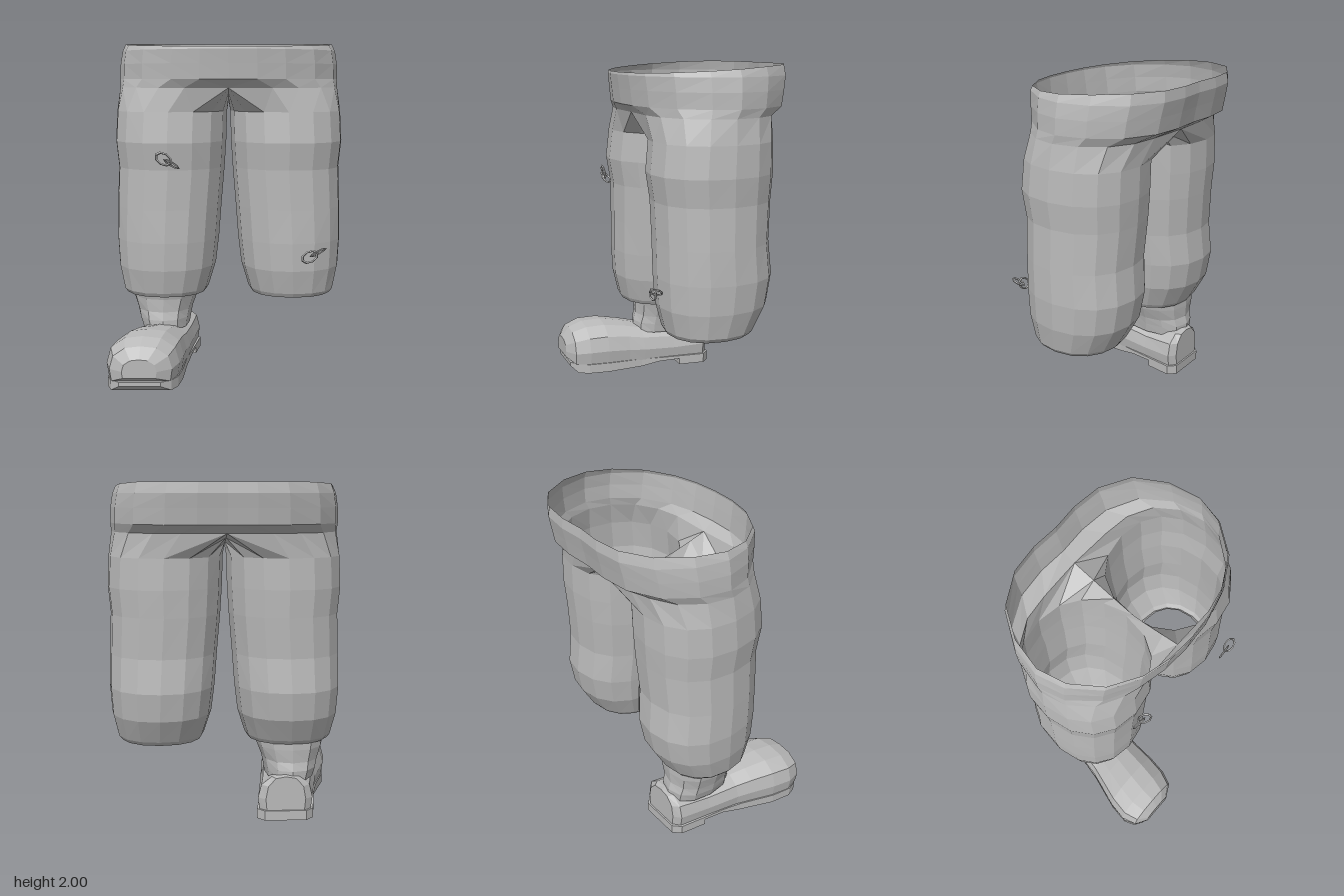
import * as THREE from 'three';

const grey = new THREE.MeshStandardMaterial({ color: 0xbababa, flatShading: true, side: THREE.DoubleSide });
grey.name = 'plain grey';

// Skin rows of [x, y, z] points with quads
function loft(name, rows, closed = true) {
  const n = rows[0].length, index = [];
  for (let r = 0; r < rows.length - 1; r++) {
    for (let i = 0; i < (closed ? n : n - 1); i++) {
      const j = (i + 1) % n, a = r * n, b = a + n;
      index.push(a + i, a + j, b + j, a + i, b + j, b + i);
    }
  }
  const g = new THREE.BufferGeometry();
  g.setAttribute('position', new THREE.Float32BufferAttribute(rows.flat(2), 3));
  g.setIndex(index);
  g.computeVertexNormals();
  const mesh = new THREE.Mesh(g, grey);
  mesh.name = name;
  return mesh;
}

const soft = (v) => Math.sign(v) * Math.abs(v) ** 0.9;

// Horizontal ring, starting on the inner side and running front, outer, back
function ring([y, x0, x1, front, back], n = 16) {
  return Array.from({ length: n }, (_, i) => {
    const a = (i / n) * Math.PI * 2;
    return [(x0 + x1) / 2 - ((x1 - x0) / 2) * soft(Math.cos(a)), y,
      (front + back) / 2 + ((front - back) / 2) * soft(Math.sin(a))];
  });
}

// Half outline of the waist from front centre to back centre
const WAIST = [[0, 0.35], [0.16, 0.34], [0.32, 0.3], [0.49, 0.2], [0.61, 0.04], [0.65, -0.12],
  [0.61, -0.3], [0.5, -0.47], [0.33, -0.565], [0.16, -0.585], [0, -0.575]];

// Crotch line from the lowest point outwards: [y, front z, back z]
const CROTCH = [[1.64, -0.04, -0.04], [1.66, 0.06, -0.18], [1.69, 0.17, -0.33], [1.72, 0.27, -0.47]];

function trouserHalf() {
  const half = new THREE.Group();
  // y, inner x, outer x, front z, back z; the first two rows turn the hem inwards
  const legRows = [
    [0.48, 0.17, 0.62, 0.16, -0.28], [0.46, 0.14, 0.64, 0.2, -0.3], [0.485, 0.125, 0.66, 0.215, -0.32],
    [0.63, 0.08, 0.69, 0.25, -0.4], [0.8, 0.06, 0.7, 0.26, -0.43], [1.0, 0.045, 0.695, 0.26, -0.41],
    [1.24, 0.025, 0.685, 0.265, -0.425], [1.4, 0.015, 0.7, 0.29, -0.435], [1.58, 0.01, 0.69, 0.27, -0.435],
  ].map((r) => ring(r));
  // Top of the leg: inner points meet on the centre line, the rest blend to the hips
  const legTop = legRows[legRows.length - 1];
  const hip = legTop.map((p, i) => {
    const k = i > 8 ? i - 16 : i;
    if (Math.abs(k) <= 3) {
      const [y, zf, zb] = CROTCH[Math.abs(k)];
      return [0, y, k >= 0 ? zf : zb];
    }
    const w = WAIST[i - 3];
    return [(p[0] + w[0]) / 2, 1.72, 0.9 * (p[2] + w[1]) / 2];
  });
  half.add(loft('trouserLeg', [...legRows, hip]));
  // Waist, open at the top with a sloping rim
  const band = (y, sx, sz) => WAIST.map(([x, z]) => [x * sx, y, z * sz]);
  const rim = WAIST.map(([x, z]) => [x * 0.98, Math.min(2, 1.975 - 0.06 * z), z]);
  half.add(loft('waist', [hip.slice(3, 14), band(1.77, 1.035, 0.95), band(1.86, 1.03, 0.98),
    band(1.94, 1.01, 1.01), rim], false));
  return half;
}

// Close both ends of a loft by collapsing a row to its centre
function capped(rows) {
  const collapse = (row) => {
    const c = [0, 1, 2].map((k) => row.reduce((s, p) => s + p[k], 0) / row.length);
    return row.map(() => c);
  };
  return [collapse(rows[0]), ...rows, collapse(rows[rows.length - 1])];
}

function boot() {
  const g = new THREE.Group();
  g.name = 'boot';
  // Upper: z, centre x, half width, top y, bottom y
  const section = [[0.94, 0], [1, 0.35], [0.88, 0.72], [0.5, 0.95], [0, 1],
    [-0.5, 0.95], [-0.88, 0.72], [-1, 0.35], [-0.94, 0]];
  const upper = [
    [-0.335, -0.36, 0.12, 0.27, 0.055], [-0.3, -0.36, 0.165, 0.272, 0.055], [-0.1, -0.39, 0.17, 0.25, 0.055],
    [0.1, -0.42, 0.18, 0.265, 0.055], [0.2, -0.445, 0.19, 0.285, 0.055], [0.34, -0.475, 0.21, 0.305, 0.055],
    [0.46, -0.495, 0.212, 0.298, 0.055], [0.55, -0.5, 0.18, 0.265, 0.06], [0.595, -0.505, 0.1, 0.2, 0.09],
  ].map(([z, cx, w, top, low]) => section.map(([u, v]) => [cx + u * w, low + v * (top - low), z]));
  g.add(loft('bootUpper', capped(upper)));
  // Sole with raised arch and heel block: z, centre x, half width, bottom y
  const sole = [
    [-0.345, -0.36, 0.125, 0], [-0.3, -0.36, 0.17, 0], [-0.135, -0.385, 0.172, 0], [-0.135, -0.385, 0.172, 0.04],
    [0, -0.405, 0.172, 0.035], [0.12, -0.43, 0.175, 0.01], [0.34, -0.475, 0.205, 0], [0.47, -0.495, 0.205, 0],
    [0.535, -0.5, 0.175, 0], [0.575, -0.505, 0.12, 0.035],
  ].map(([z, cx, w, low]) => [[cx + w, low, z], [cx + w, 0.06, z], [cx - w, 0.06, z], [cx - w, low, z]]);
  g.add(loft('bootSole', capped(sole)));
  // Open shaft rising into the trouser leg
  g.add(loft('bootShaft', [
    [0.23, -0.55, -0.25, 0.13, -0.31], [0.29, -0.57, -0.24, 0.125, -0.31], [0.34, -0.58, -0.23, 0.11, -0.295],
    [0.42, -0.605, -0.2, 0.11, -0.3], [0.5, -0.62, -0.18, 0.13, -0.3],
  ].map((r) => ring(r, 12).reverse().map(([x, y, z]) => [x, y, z]))));
  g.children[2].geometry.index.array.reverse();
  g.children[2].geometry.computeVertexNormals();
  return g;
}

// Two interlocked oval links
function zipPull(name, x, y, tilt) {
  const g = new THREE.Group();
  g.name = name;
  [[-0.025, 0.15], [0.03, 1.15]].forEach(([dx, turn], i) => {
    const link = new THREE.Mesh(new THREE.TorusGeometry(0.033, 0.006, 4, 8), grey);
    link.name = i ? 'innerLink' : 'outerLink';
    link.scale.x = 1.45;
    link.position.x = dx;
    link.rotation.x = turn;
    g.add(link);
  });
  g.position.set(x, y, 0.325);
  g.rotation.z = tilt;
  return g;
}

export function createModel() {
  const model = new THREE.Group();
  model.name = 'trousersWithBoot';
  for (const side of [1, -1]) {
    const half = trouserHalf();
    half.name = side > 0 ? 'leftTrouserHalf' : 'rightTrouserHalf';
    half.scale.x = side;
    model.add(half);
  }
  model.add(boot());
  model.add(zipPull('rightZipPull', -0.355, 1.3, -0.55), zipPull('leftZipPull', 0.5, 0.75, 0.5));
  return model;
}
